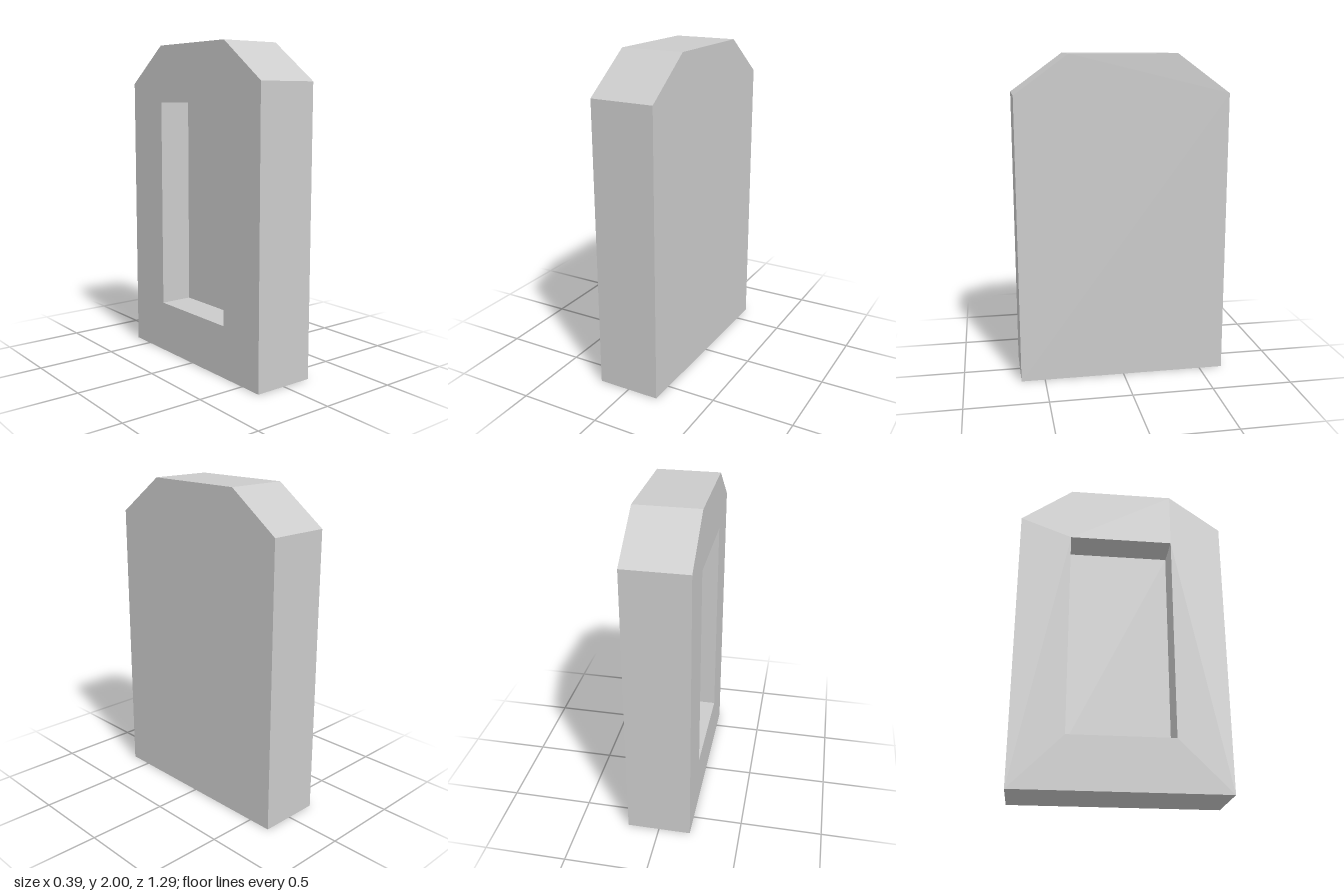
import * as THREE from 'three';

const HALF_THICK = 0.196, HALF_WIDTH = 0.647, HALF_TOP = 0.324;
const HEIGHT = 2, SHOULDER = 1.765, RECESS_DEPTH = 0.21;

// Profiles drawn as (z, y), counter-clockwise when facing the recessed side
const outline = [
  [-HALF_WIDTH, 0], [HALF_WIDTH, 0], [HALF_WIDTH, SHOULDER],
  [HALF_TOP, HEIGHT], [-HALF_TOP, HEIGHT], [-HALF_WIDTH, SHOULDER],
].map(([z, y]) => new THREE.Vector2(z, y));

const opening = [
  [-HALF_TOP, 0.323], [HALF_TOP, 0.323], [HALF_TOP, 1.644], [-HALF_TOP, 1.644],
].map(([z, y]) => new THREE.Vector2(z, y));

// Flat-sided band that follows a closed profile between two depths
function band(points, from, to) {
  const pos = [];
  points.forEach((p, i) => {
    const q = points[(i + 1) % points.length];
    pos.push(p.x, p.y, from, q.x, q.y, from, q.x, q.y, to);
    pos.push(p.x, p.y, from, q.x, q.y, to, p.x, p.y, to);
  });
  const geometry = new THREE.BufferGeometry();
  geometry.setAttribute('position', new THREE.Float32BufferAttribute(pos, 3));
  geometry.computeVertexNormals();
  return geometry;
}

export function createModel() {
  const group = new THREE.Group();
  group.name = 'recessedSlab';
  const material = new THREE.MeshStandardMaterial({ color: 0xcccccc, flatShading: true });

  const add = (name, geometry, turn = -Math.PI / 2) => {
    const mesh = new THREE.Mesh(geometry.rotateY(turn), material);
    mesh.name = name;
    group.add(mesh);
  };

  // Outer edges: base, two uprights, two chamfers and the top
  add('outerEdges', band(outline, -HALF_THICK, HALF_THICK));

  // Plain face on the +x side
  add('plainFace', new THREE.ShapeGeometry(new THREE.Shape(outline)).translate(0, 0, HALF_THICK), Math.PI / 2);

  // Framed face on the -x side, with its opening
  const frame = new THREE.Shape(outline);
  frame.holes.push(new THREE.Path(opening));
  add('framedFace', new THREE.ShapeGeometry(frame).translate(0, 0, HALF_THICK));

  // Recess behind the opening
  const floor = HALF_THICK - RECESS_DEPTH;
  add('recessWalls', band([...opening].reverse(), floor, HALF_THICK));
  add('recessFloor', new THREE.ShapeGeometry(new THREE.Shape(opening)).translate(0, 0, floor));

  return group;
}
